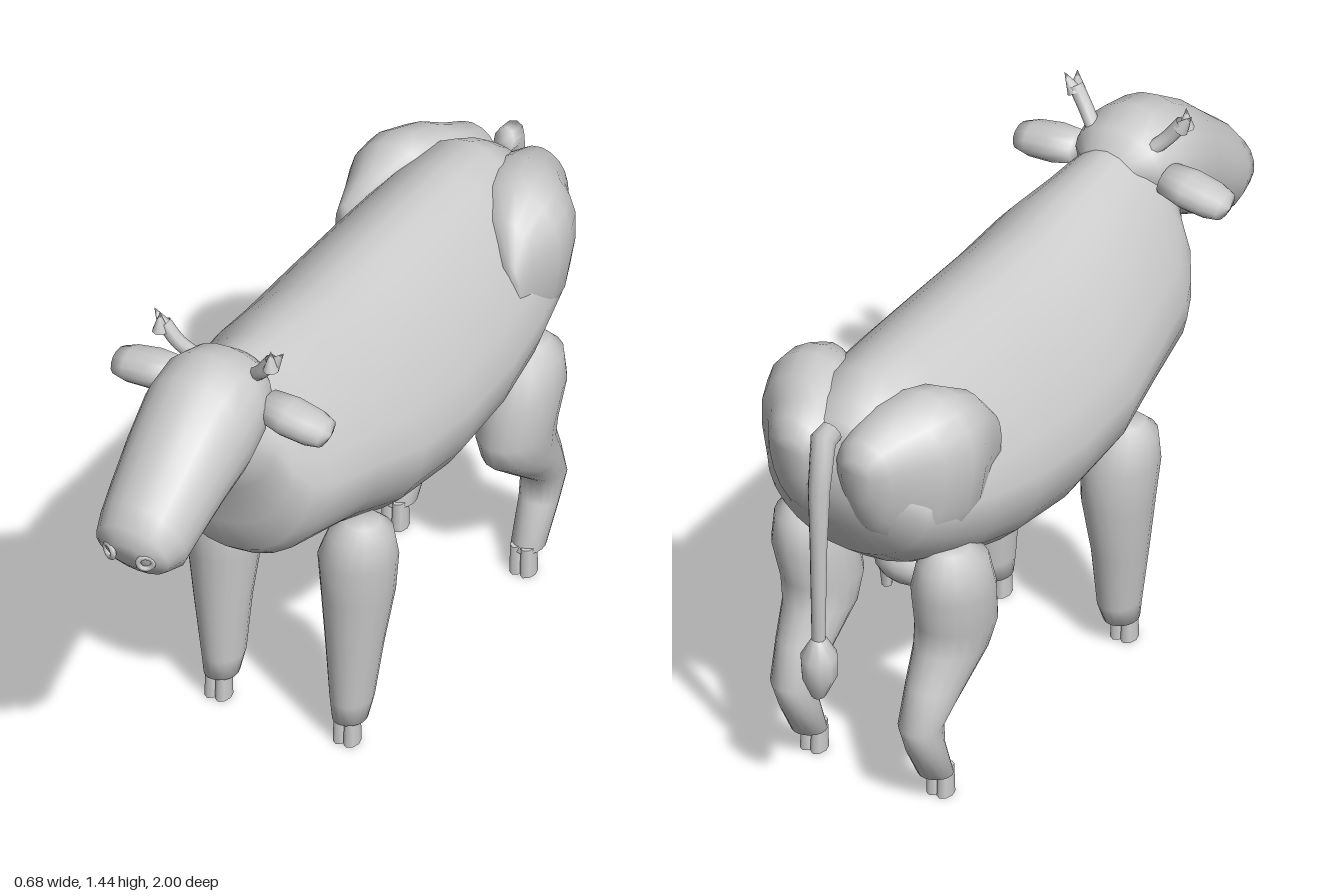
import * as THREE from 'three';
import { mergeVertices } from 'three/addons/utils/BufferGeometryUtils.js';

const material = new THREE.MeshStandardMaterial({ color: 0xcccccc, side: THREE.DoubleSide });

// Skin over oval sections. Row: [z1, y1, z2, y2, halfWidth, x], where point 1 and
// point 2 are the ends of the section in the side plane; bias is where it is widest
// and pinch narrows it towards point 1.
function loft(rows, { bias = 0.5, pinch = 0, sides = 18 } = {}) {
  const position = [], index = [];
  const centre = ([z1, y1, z2, y2, , x = 0]) => {
    const z = z2 + (z1 - z2) * bias, y = y2 + (y1 - y2) * bias;
    return [z, y, z, y, 0, x];
  };
  const rings = [centre(rows[0]), ...rows, centre(rows[rows.length - 1])];
  rings.forEach(([z1, y1, z2, y2, w, x = 0], i) => {
    for (let j = 0; j < sides; j++) {
      const a = (j / sides) * Math.PI * 2, c = Math.cos(a);
      const t = bias + c * (c > 0 ? 1 - bias : bias);
      const width = w * (1 - pinch * Math.max(0, c));
      position.push(x + width * Math.sin(a), y2 + (y1 - y2) * t, z2 + (z1 - z2) * t);
      if (i < rings.length - 1) {
        const k = i * sides + j, n = i * sides + (j + 1) % sides;
        index.push(k, n, k + sides, n, n + sides, k + sides);
      }
    }
  });
  const geometry = new THREE.BufferGeometry();
  geometry.setAttribute('position', new THREE.Float32BufferAttribute(position, 3));
  geometry.setIndex(index);
  const merged = mergeVertices(geometry, 1e-4);
  merged.computeVertexNormals();
  return merged;
}

function add(group, name, geometry, position = [0, 0, 0], scale = [1, 1, 1]) {
  const mesh = new THREE.Mesh(geometry, material);
  mesh.name = name;
  mesh.position.set(...position);
  mesh.scale.set(...scale);
  group.add(mesh);
  return mesh;
}

export function createModel() {
  const model = new THREE.Group();
  model.name = 'cow';
  const ball = new THREE.SphereGeometry(1, 16, 12);

  // Barrel, chest and neck, from front to rump
  add(model, 'body', loft([
    [0.53, 1.31, 0.6, 1.03, 0.13],
    [0.49, 1.31, 0.55, 0.95, 0.17],
    [0.46, 1.31, 0.535, 0.83, 0.21],
    [0.41, 1.31, 0.5, 0.725, 0.24],
    [0.34, 1.30, 0.45, 0.685, 0.265],
    [0.2, 1.29, 0.24, 0.65, 0.305],
    [0.05, 1.27, 0.05, 0.58, 0.33],
    [-0.18, 1.27, -0.18, 0.55, 0.338],
    [-0.4, 1.27, -0.4, 0.57, 0.33],
    [-0.58, 1.27, -0.58, 0.62, 0.31],
    [-0.72, 1.265, -0.72, 0.69, 0.285],
    [-0.8, 1.22, -0.81, 0.76, 0.25],
    [-0.85, 1.18, -0.88, 0.88, 0.19],
    [-0.87, 1.15, -0.91, 0.98, 0.12],
  ], { bias: 0.44, pinch: 0.3, sides: 28 }));

  // Head, from muzzle to poll
  add(model, 'head', loft([
    [1.0, 1.03, 0.97, 0.95, 0.06],
    [0.99, 1.08, 0.93, 0.91, 0.11],
    [0.95, 1.13, 0.86, 0.885, 0.128],
    [0.88, 1.19, 0.79, 0.93, 0.138],
    [0.78, 1.28, 0.69, 0.98, 0.15],
    [0.67, 1.355, 0.6, 1.02, 0.162],
    [0.57, 1.375, 0.53, 1.08, 0.158],
    [0.48, 1.35, 0.48, 1.16, 0.13],
    [0.43, 1.31, 0.43, 1.22, 0.08],
  ], { sides: 20 }));

  // Tail with its tuft
  add(model, 'tail', loft([
    [-0.9, 1.2, -0.87, 1.13, 0.03],
    [-0.95, 1.19, -0.9, 1.13, 0.035],
    [-0.975, 1.02, -0.915, 1.02, 0.03],
    [-0.97, 0.85, -0.925, 0.85, 0.024],
    [-0.965, 0.52, -0.93, 0.52, 0.018],
  ], { sides: 10 }));
  add(model, 'tailTuft', loft([
    [-0.965, 0.56, -0.925, 0.56, 0.018],
    [-0.995, 0.5, -0.895, 0.51, 0.05],
    [-0.99, 0.44, -0.895, 0.45, 0.048],
    [-0.965, 0.38, -0.925, 0.39, 0.02],
  ], { sides: 10 }));

  // Udder
  add(model, 'udder', ball, [0, 0.57, -0.49], [0.11, 0.075, 0.1]);

  for (const [side, s] of [['left', 1], ['right', -1]]) {
    const half = new THREE.Group();
    half.name = side + 'Side';
    model.add(half);

    // Front leg, from shoulder to hoof
    add(half, 'frontLeg', loft([
      [0.13, 0.695, 0.23, 0.695, 0.045, s * 0.225],
      [0.09, 0.66, 0.27, 0.66, 0.085, s * 0.218],
      [0.065, 0.58, 0.285, 0.58, 0.105, s * 0.206],
      [0.065, 0.46, 0.275, 0.46, 0.095, s * 0.203],
      [0.1, 0.3, 0.265, 0.3, 0.075, s * 0.2],
      [0.12, 0.13, 0.255, 0.13, 0.056, s * 0.195],
      [0.145, 0.07, 0.25, 0.07, 0.046, s * 0.195],
    ]));

    // Hind leg, from thigh through the hock to hoof
    add(half, 'hindLeg', loft([
      [-0.71, 0.76, -0.6, 0.76, 0.05, s * 0.22],
      [-0.75, 0.72, -0.54, 0.72, 0.09, s * 0.22],
      [-0.765, 0.64, -0.505, 0.62, 0.105, s * 0.215],
      [-0.74, 0.53, -0.48, 0.5, 0.1, s * 0.207],
      [-0.745, 0.46, -0.51, 0.42, 0.09, s * 0.202],
      [-0.785, 0.37, -0.61, 0.34, 0.075, s * 0.2],
      [-0.825, 0.26, -0.7, 0.27, 0.06, s * 0.197],
      [-0.79, 0.17, -0.69, 0.2, 0.053, s * 0.195],
      [-0.74, 0.08, -0.64, 0.07, 0.046, s * 0.195],
    ]));

    // Cloven hooves: two toes on each foot
    for (const [name, z] of [['frontHoof', 0.212], ['hindHoof', -0.665]])
      for (const toe of [-1, 1])
        add(half, name, new THREE.CylinderGeometry(0.018, 0.02, 0.085, 8),
          [s * 0.195 + toe * 0.016, 0.0425, z], [1, 1, 1.6]);

    // Haunch, swelling at the hip and rounding off beside the tail
    add(half, 'haunch', loft([
      [-0.5, 1.1, -0.52, 0.88, 0.03, s * 0.25],
      [-0.56, 1.19, -0.56, 0.82, 0.085, s * 0.205],
      [-0.64, 1.235, -0.64, 0.78, 0.14, s * 0.18],
      [-0.7, 1.245, -0.7, 0.77, 0.155, s * 0.165],
      [-0.78, 1.23, -0.78, 0.79, 0.145, s * 0.14],
      [-0.84, 1.2, -0.83, 0.84, 0.115, s * 0.115],
      [-0.9, 1.175, -0.88, 0.9, 0.085, s * 0.105],
      [-0.93, 1.13, -0.92, 1.0, 0.045, s * 0.1],
    ], { bias: 0.66 }));

    // Ear, reaching outwards and narrowing to a blunt tip
    const earProfile = [[0, 0], [0.048, 0], [0.058, 0.07], [0.054, 0.14], [0.042, 0.18], [0, 0.195]]
      .map(([r, y]) => new THREE.Vector2(r, y));
    const ear = add(half, 'ear', new THREE.LatheGeometry(earProfile, 14), [s * 0.135, 1.232, 0.51], [0.85, 1, 1.1]);
    ear.rotation.z = -s * (Math.PI / 2 + 0.14);

    // Horn curving up and forking into two short points
    const hornPath = new THREE.CatmullRomCurve3([[0.08, 1.3, 0.5], [0.125, 1.345, 0.525], [0.165, 1.4, 0.535]]
      .map(([x, y, z]) => new THREE.Vector3(s * x, y, z)));
    add(half, 'horn', new THREE.TubeGeometry(hornPath, 6, 0.02, 8));
    for (const [x, y, z, lean] of [[0.168, 1.41, 0.548, 0], [0.18, 1.408, 0.53, 0.6]]) {
      const tip = add(half, 'hornTip', new THREE.ConeGeometry(0.022, 0.06, 8), [s * x, y, z]);
      tip.rotation.z = -s * lean;
    }

    // Nostril rim and teats
    const nostril = add(half, 'nostril', new THREE.TorusGeometry(0.02, 0.008, 6, 12), [s * 0.055, 0.99, 0.985]);
    nostril.rotation.set(0.1, s * 0.5, 0);
    for (const z of [-0.45, -0.52])
      add(half, 'teat', new THREE.CylinderGeometry(0.022, 0.014, 0.07, 8), [s * 0.065, 0.505, z]);
  }
  return model;
}
